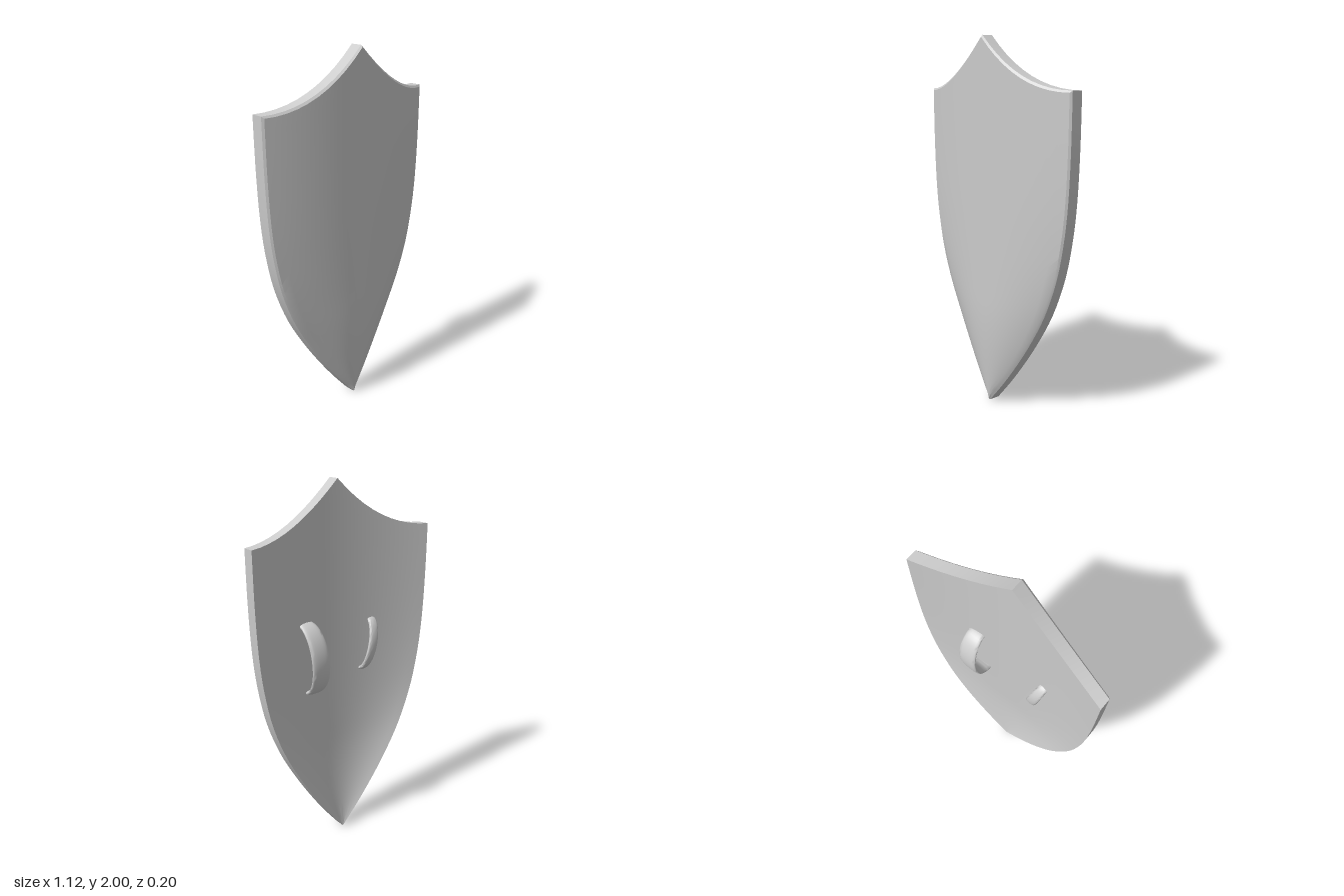
import * as THREE from 'three';
import { toCreasedNormals } from 'three/addons/utils/BufferGeometryUtils.js';

const COLS = 20, ROWS = 32, THICK = 0.072, BEVEL = 0.01;
const material = new THREE.MeshStandardMaterial({ color: 0xcccccc });

// Half outline of the shield: (half width, height)
const outline = new THREE.SplineCurve([
  [0, 0], [0.1, 0.125], [0.2, 0.265], [0.3, 0.42], [0.4, 0.6], [0.478, 0.8],
  [0.523, 1.0], [0.547, 1.2], [0.558, 1.45], [0.56, 1.73],
].map(([x, y]) => new THREE.Vector2(x, y)));

// Front surface of the curved plate; u runs across (-1..1), t runs up (0..1)
function platePoint(u, t, inset, dz) {
  const p = outline.getPoint(t);
  const w = Math.max(p.x - inset, 0);
  const y0 = p.y + inset * (1 - 2 * t);
  const rise = Math.max(0, (p.y - 1.2) / 0.53);      // lifts the peak of the top edge
  const y = y0 + rise * 0.27 * (1 - Math.abs(u)) ** 2;
  const s = Math.sin(Math.PI / 2 * Math.min(1, p.y / 0.6)); // flattens towards the tip
  const z = 0.055 + s * (0.045 - 0.083 * u * u) + dz;
  return [u * w, y, z];
}

function buildGeometry(positions, index, crease) {
  const g = new THREE.BufferGeometry();
  g.setAttribute('position', new THREE.Float32BufferAttribute(positions, 3));
  g.setIndex(index);
  return toCreasedNormals(g, crease);
}

function plateGeometry() {
  const positions = [], index = [];
  const size = (COLS + 1) * (ROWS + 1);
  const id = (layer, i, j) => layer * size + j * (COLS + 1) + i;

  // Layers: back, front edge below the bevel, front face
  for (const [inset, dz] of [[0, -THICK], [0, -BEVEL], [BEVEL, 0]]) {
    for (let j = 0; j <= ROWS; j++) {
      for (let i = 0; i <= COLS; i++) {
        positions.push(...platePoint(2 * i / COLS - 1, j / ROWS, inset, dz));
      }
    }
  }
  const quad = (a, b, c, d) => index.push(a, b, c, a, c, d);

  // Front and back faces
  for (let j = 0; j < ROWS; j++) {
    for (let i = 0; i < COLS; i++) {
      quad(id(2, i, j), id(2, i + 1, j), id(2, i + 1, j + 1), id(2, i, j + 1));
      quad(id(0, i, j), id(0, i, j + 1), id(0, i + 1, j + 1), id(0, i + 1, j));
    }
  }

  // Rim and bevel around the outline
  const loop = [];
  for (let j = 0; j < ROWS; j++) loop.push([COLS, j]);
  for (let i = COLS; i > 0; i--) loop.push([i, ROWS]);
  for (let j = ROWS; j >= 0; j--) loop.push([0, j]);
  loop.forEach((p, k) => {
    const q = loop[(k + 1) % loop.length];
    for (const l of [0, 1]) quad(id(l, ...p), id(l, ...q), id(l + 1, ...q), id(l + 1, ...p));
  });
  return buildGeometry(positions, index, 0.5);
}

// Arched strap with a rounded flat section, its feet sunk into the plate
function strapGeometry({ x, y, half, z0, depth, width, thick, lean }) {
  const positions = [], index = [], N = 20, M = 28;
  const round = (v, e) => Math.sign(v) * Math.abs(v) ** e;
  for (let j = 0; j <= M; j++) {
    const a = Math.PI * j / M, c = Math.cos(a), s = Math.sin(a);
    const normal = new THREE.Vector2(c / half, -s / depth).normalize();
    const w = width / 2 * (0.8 + 0.2 * s);
    for (let i = 0; i < N; i++) {
      const phi = -2 * Math.PI * i / N;
      const n = round(Math.sin(phi), 0.8) * thick / 2 - thick / 2;
      positions.push(
        x + lean * c + round(Math.cos(phi), 0.8) * w,
        y + half * c + normal.x * n,
        z0 - depth * s + normal.y * n,
      );
    }
  }
  for (let j = 0; j < M; j++) {
    for (let i = 0; i < N; i++) {
      const a = j * N + i, b = j * N + (i + 1) % N;
      index.push(a, b, b + N, a, b + N, a + N);
    }
  }
  return buildGeometry(positions, index, 1.2);
}

export function createModel() {
  const group = new THREE.Group();
  group.name = 'shield';
  const add = (name, geometry) => {
    const mesh = new THREE.Mesh(geometry, material);
    mesh.name = name;
    group.add(mesh);
  };
  add('plate', plateGeometry());
  add('armStrap', strapGeometry({
    x: 0.2, y: 1.1, half: 0.203, z0: 0.03, depth: 0.13, width: 0.11, thick: 0.024, lean: 0.015,
  }));
  add('handGrip', strapGeometry({
    x: -0.195, y: 1.1, half: 0.15, z0: 0.03, depth: 0.075, width: 0.06, thick: 0.022, lean: -0.03,
  }));
  return group;
}
